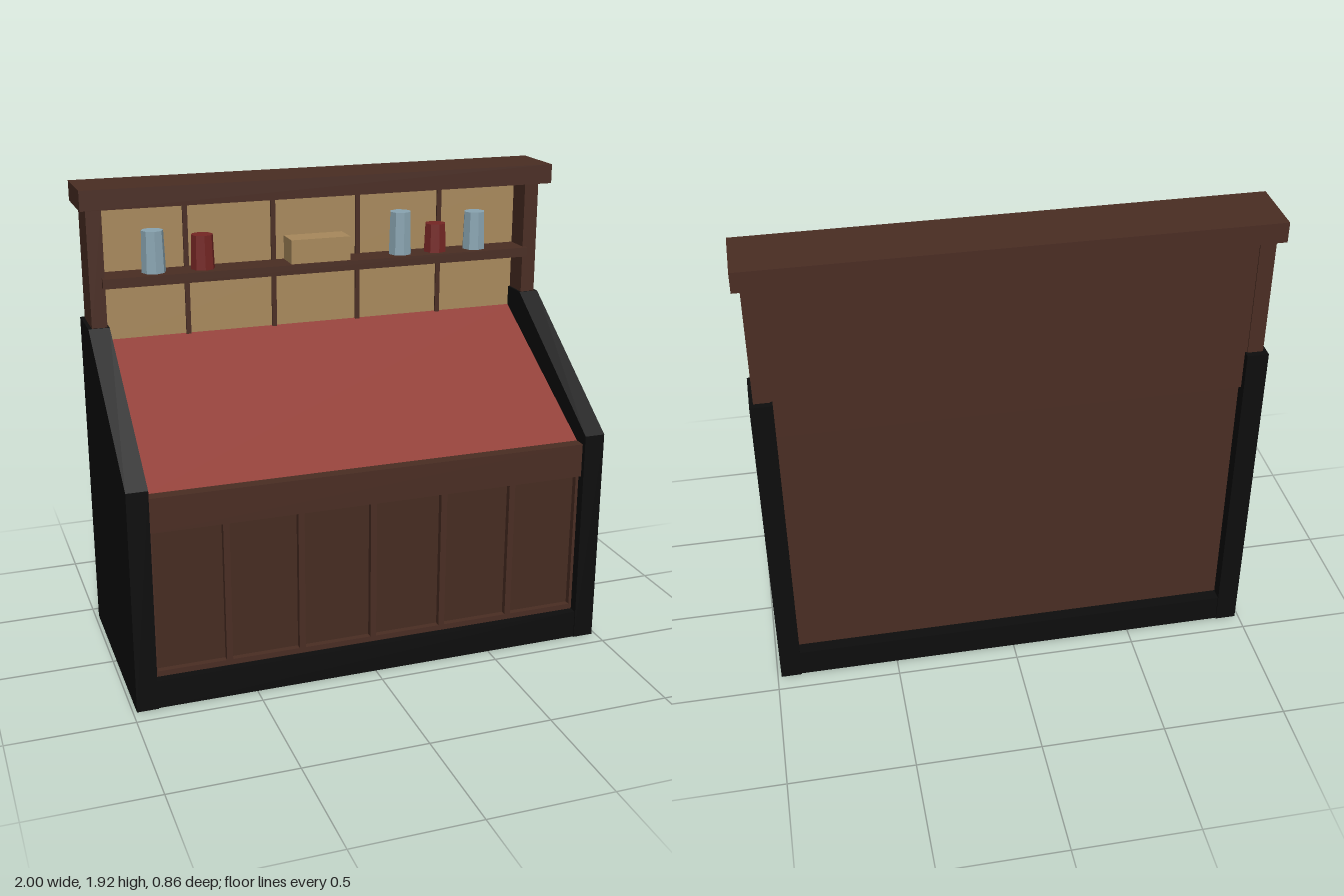
import * as THREE from 'three';

const mat = (name, color) => {
  const m = new THREE.MeshStandardMaterial({ color });
  m.name = name;
  return m;
};

export function createModel() {
  const black = mat('black paint', 0x0d0d0d);
  const brown = mat('dark wood', 0x4a2d23);
  const panelBrown = mat('panel wood', 0x462c21);
  const red = mat('red top', 0x8e3931);
  const tan = mat('tan board', 0xa8895c);
  const blue = mat('blue glass', 0x8aa5b2);
  const jarRed = mat('red jar', 0x752624);

  const model = new THREE.Group();
  model.name = 'counter';

  const add = (name, geometry, material) => {
    const mesh = new THREE.Mesh(geometry, material);
    mesh.name = name;
    model.add(mesh);
    return mesh;
  };
  // Box given by its extents on each axis
  const box = (name, material, x0, x1, y0, y1, z0, z1) => {
    const mesh = add(name, new THREE.BoxGeometry(x1 - x0, y1 - y0, z1 - z0), material);
    mesh.position.set((x0 + x1) / 2, (y0 + y1) / 2, (z0 + z1) / 2);
    return mesh;
  };
  // Side profile of [z, y] points, swept from x0 to x1
  const sweep = (name, material, points, x0, x1) => {
    const shape = new THREE.Shape(points.map(([z, y]) => new THREE.Vector2(-z, y)));
    const geo = new THREE.ExtrudeGeometry(shape, { depth: x1 - x0, bevelEnabled: false });
    geo.rotateY(Math.PI / 2);
    geo.translate(x0, 0, 0);
    return add(name, geo, material);
  };

  // Sloped side walls
  const wall = [[0.43, 0], [0.43, 0.91], [-0.225, 1.36], [-0.43, 1.36], [-0.43, 0]];
  sweep('leftWall', black, wall, 0.9, 0.985);
  sweep('rightWall', black, wall, -0.985, -0.9);

  // Plinth
  box('plinth', black, -0.9, 0.9, 0, 0.117, -0.425, 0.425);

  // Front: header rail, recessed panels, frame
  box('headerRail', brown, -0.9, 0.9, 0.73, 0.87, 0.34, 0.41);
  box('frontPanel', panelBrown, -0.9, 0.9, 0.117, 0.73, 0.34, 0.365);
  box('bottomRail', brown, -0.9, 0.9, 0.117, 0.14, 0.365, 0.39);
  for (let i = 0; i <= 6; i++) {
    const x = -0.9 + i * 0.3;
    box('stile', brown, Math.max(x - 0.0125, -0.9), Math.min(x + 0.0125, 0.9), 0.14, 0.73, 0.365, 0.39);
  }

  // Sloped red top
  sweep('slopedTop', red, [[0.36, 0.87], [-0.34, 1.278], [-0.34, 1.245], [0.36, 0.835]], -0.9, 0.9);

  // Back panels
  box('lowerBackPanel', brown, -0.9, 0.9, 0.117, 1.2, -0.375, -0.35);
  box('upperBackPanel', brown, -0.9, 0.9, 1.2, 1.36, -0.4, -0.35);
  box('upperBackPanel', brown, -0.91, 0.91, 1.36, 1.825, -0.4, -0.35);
  box('topRail', brown, -0.91, 0.91, 1.825, 1.84, -0.4, -0.25);

  // Display board and dividers
  box('displayBoard', tan, -0.91, 0.91, 1.26, 1.825, -0.35, -0.34);
  for (const x of [-0.555, -0.185, 0.185, 0.555]) {
    box('divider', brown, x - 0.01, x + 0.01, 1.275, 1.825, -0.34, -0.332);
  }

  // Posts, shelf and crown
  for (const s of [-1, 1]) {
    const post = box('post', brown, 0.908, 0.97, 1.35, 1.84, -0.405, -0.23);
    post.position.x *= s;
  }
  box('shelf', brown, -0.92, 0.92, 1.52, 1.56, -0.34, -0.21);
  box('crown', brown, -1, 1, 1.84, 1.92, -0.43, -0.17);

  // Jars and box on the shelf: x, height, material
  const jars = [
    [-0.702, 0.17, blue], [-0.5, 0.14, jarRed], [0.357, 0.18, blue],
    [0.517, 0.12, jarRed], [0.697, 0.16, blue],
  ];
  for (const [x, h, material] of jars) {
    const geo = new THREE.CylinderGeometry(0.045, 0.05, h, 8).toNonIndexed();
    geo.computeVertexNormals();
    add('jar', geo, material).position.set(x, 1.56 + h / 2, -0.28);
  }
  box('smallBox', tan, -0.14, 0.115, 1.56, 1.66, -0.335, -0.225);

  return model;
}
